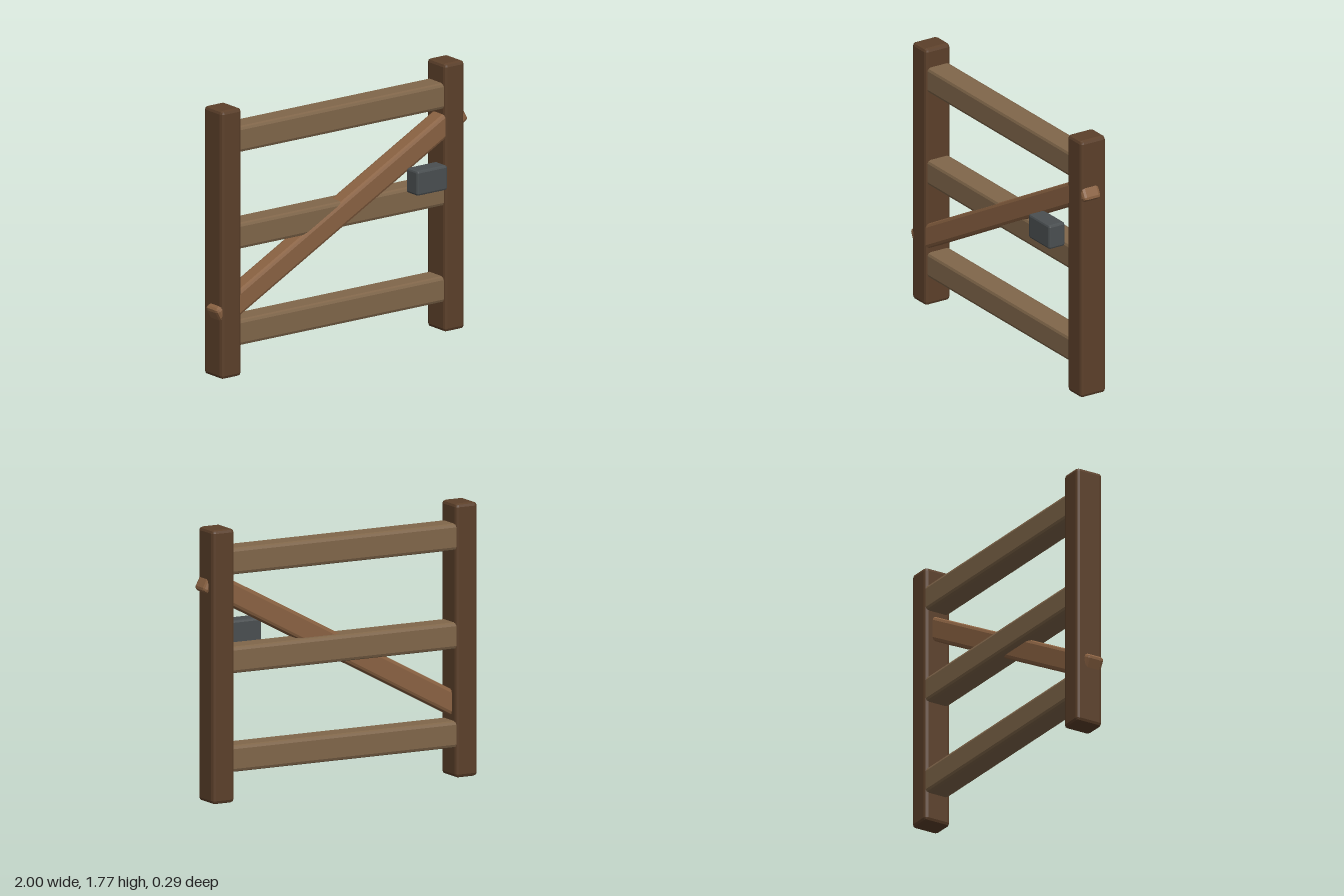
import * as THREE from 'three';
import { RoundedBoxGeometry } from 'three/addons/geometries/RoundedBoxGeometry.js';

const material = (color) => new THREE.MeshStandardMaterial({ color, flatShading: true });

// Box with chamfered edges, placed by its centre
function beam(name, size, position, bevel, mat) {
  const mesh = new THREE.Mesh(new RoundedBoxGeometry(...size, 1, bevel), mat);
  mesh.name = name;
  mesh.position.set(...position);
  return mesh;
}

export function createModel() {
  const gate = new THREE.Group();
  gate.name = 'gate';
  const postWood = material(0x5c402a);
  const railWood = material(0x80664a);
  const braceWood = material(0x8a6242);
  const iron = material(0x4a4f51);

  // Upright posts
  for (const [name, side] of [['leftPost', 1], ['rightPost', -1]]) {
    gate.add(beam(name, [0.16, 1.77, 0.19], [side * 0.89, 0.885, -0.05], 0.022, postWood));
  }

  // Horizontal rails, let into the posts
  [['bottomRail', 0.28], ['middleRail', 0.917], ['topRail', 1.555]].forEach(([name, y]) => {
    gate.add(beam(name, [1.936, 0.172, 0.168], [0, y, -0.054], 0.022, railWood));
  });

  // Diagonal brace, its ends poking out through the posts
  const brace = beam('diagonalBrace', [2.21, 0.15, 0.13], [0, 0.917, -0.025], 0.022, braceWood);
  brace.rotation.z = THREE.MathUtils.degToRad(28.2);
  gate.add(brace);

  // Latch block on the front of the middle rail
  gate.add(beam('latch', [0.242, 0.164, 0.12], [0.635, 1.056, 0.085], 0.014, iron));

  return gate;
}
